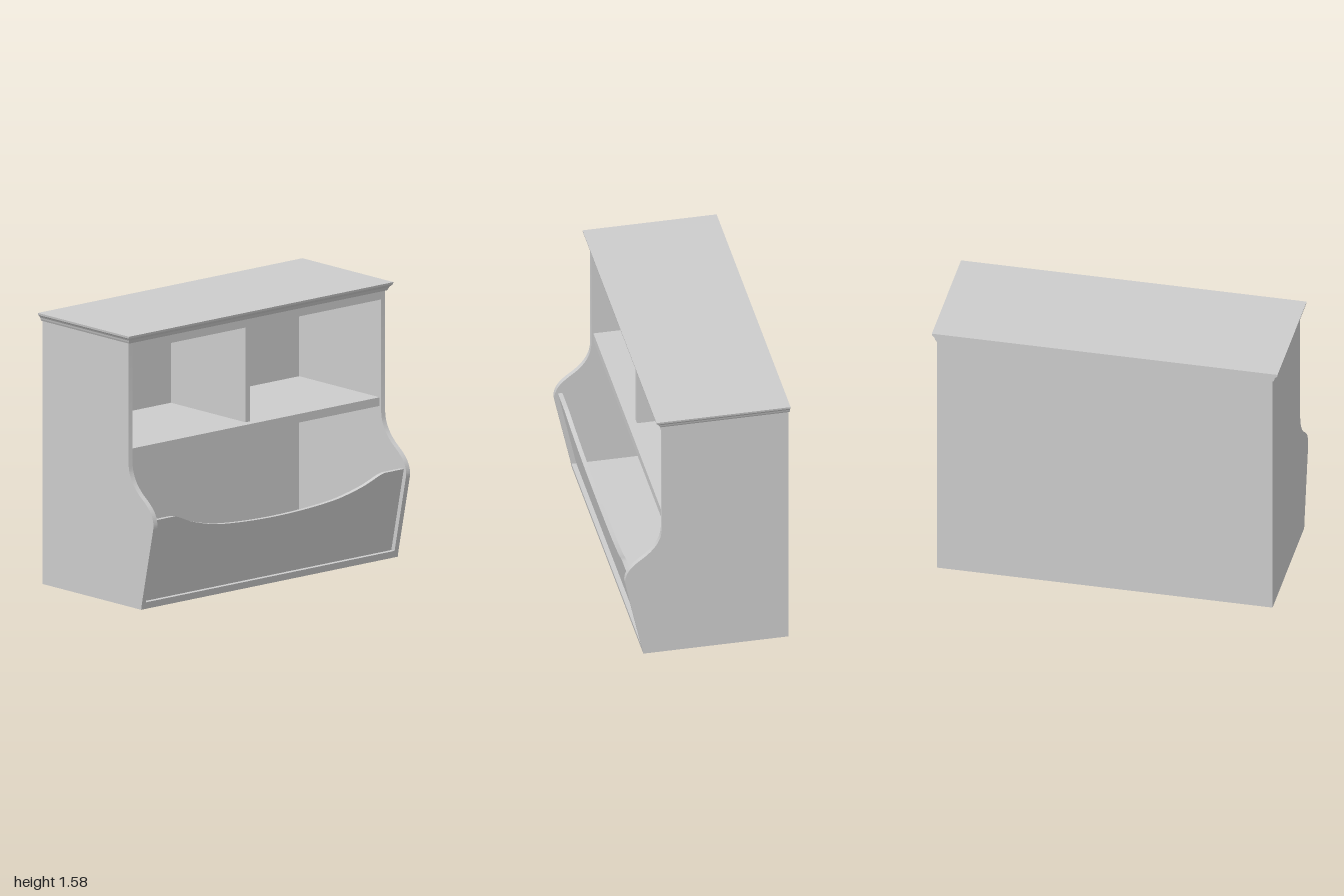
import * as THREE from 'three';
import { toCreasedNormals } from 'three/addons/utils/BufferGeometryUtils.js';

export function createModel() {
  const group = new THREE.Group();
  const paint = new THREE.MeshStandardMaterial({ color: 0xcccccc });
  paint.name = 'lightGrey';

  const add = (name, geometry) => {
    const mesh = new THREE.Mesh(geometry, paint);
    mesh.name = name;
    group.add(mesh);
    return mesh;
  };
  // Box given by its limits on each axis
  const board = (name, x0, x1, y0, y1, z0, z1) =>
    add(name, new THREE.BoxGeometry(x1 - x0, y1 - y0, z1 - z0)
      .translate((x0 + x1) / 2, (y0 + y1) / 2, (z0 + z1) / 2));
  // Shape drawn in (z, y), extruded across x from x0 to x1
  const acrossX = (shape, x0, x1) => toCreasedNormals(
    new THREE.ExtrudeGeometry(shape, { depth: x1 - x0, bevelEnabled: false, curveSegments: 24 })
      .rotateY(-Math.PI / 2).translate(x1, 0, 0), 0.5);
  const v = (x, y) => new THREE.Vector2(x, y);

  const back = -0.47, inner = 0.94, outer = 0.97;

  // Side panels with an S-curved front edge
  const side = new THREE.Shape();
  side.moveTo(back, 0);
  side.lineTo(0.37, 0);
  side.lineTo(0.377, 0.04);
  side.lineTo(0.468, 0.46);
  side.splineThru([v(0.475, 0.505), v(0.465, 0.55), v(0.44, 0.59), v(0.4, 0.627),
    v(0.345, 0.67), v(0.3, 0.72), v(0.272, 0.775), v(0.262, 0.83)]);
  side.lineTo(0.262, 1.535);
  side.lineTo(back, 1.535);
  add('leftSide', acrossX(side, inner, outer));
  add('rightSide', acrossX(side, -outer, -inner));

  // Base with a sloping front edge
  const base = new THREE.Shape([v(back, 0), v(0.37, 0), v(0.377, 0.04), v(back, 0.04)]);
  add('base', acrossX(base, -inner, inner));

  // Carcass boards
  board('backPanel', -inner, inner, 0.04, 1.535, back, -0.435);
  board('topRail', -inner, inner, 1.48, 1.535, -0.435, 0.26);
  board('shelf', -inner, inner, 0.86, 0.91, -0.435, 0.25);
  board('divider', -0.03, 0.003, 0.91, 1.48, -0.435, 0.2);

  // Bin front: scooped top edge, leaning outward
  const bin = new THREE.Shape();
  bin.moveTo(-inner, 0.04);
  bin.lineTo(inner, 0.04);
  bin.lineTo(inner, 0.53);
  bin.lineTo(0.8, 0.53);
  bin.splineThru([v(0.76, 0.52), v(0.65, 0.475), v(0.52, 0.44), v(0.4, 0.42), v(0.2, 0.405),
    v(0, 0.4), v(-0.2, 0.405), v(-0.4, 0.42), v(-0.52, 0.44), v(-0.65, 0.475),
    v(-0.76, 0.52), v(-0.8, 0.53)]);
  bin.lineTo(-inner, 0.53);
  const binGeometry = new THREE.ExtrudeGeometry(bin, { depth: 0.026, bevelEnabled: false });
  const p = binGeometry.attributes.position;
  for (let i = 0; i < p.count; i++) p.setZ(i, p.getZ(i) + 0.34 + 0.217 * (p.getY(i) - 0.04) - 0.017);
  add('binFront', toCreasedNormals(binGeometry, 0.5));

  // Crown: stacked steps flaring to the front and sides, flush at the back
  const steps = [[1.53, 0.975, 0.272], [1.54, 0.98, 0.278], [1.55, 0.983, 0.283],
    [1.56, 0.99, 0.292], [1.567, 0.998, 0.298], [1.579, 1, 0.3]];
  const crown = new THREE.BoxGeometry(2, 2, 2, 1, steps.length - 1, 1).toNonIndexed();
  const c = crown.attributes.position;
  for (let i = 0; i < c.count; i++) {
    const [y, halfWidth, front] = steps[Math.round((c.getY(i) + 1) / 2 * (steps.length - 1))];
    c.setXYZ(i, Math.sign(c.getX(i)) * halfWidth, y, c.getZ(i) > 0 ? front : -0.475);
  }
  crown.computeVertexNormals();
  add('crown', crown);

  return group;
}
